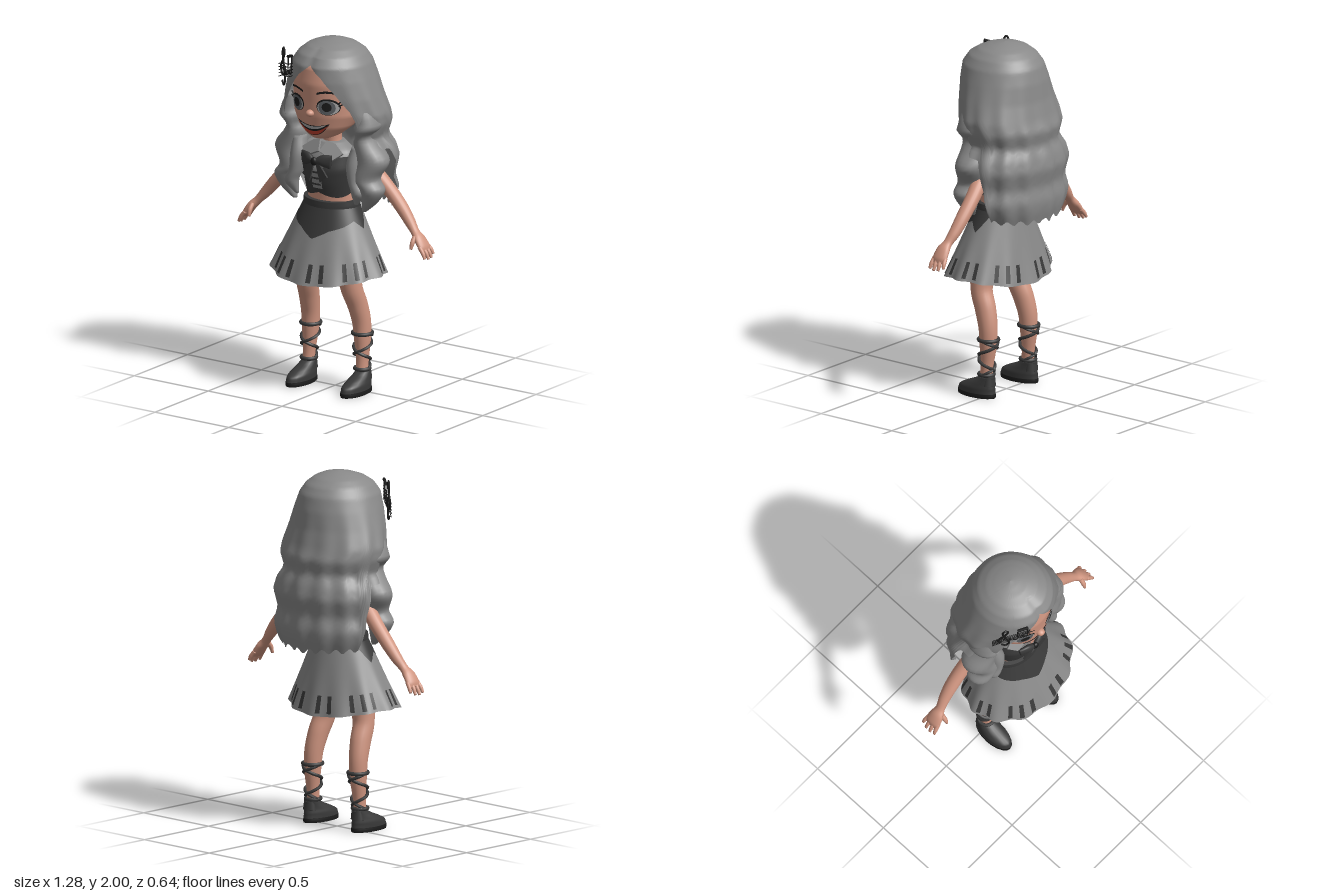
import * as THREE from 'three';

const mat = (name, color) => {
  const m = new THREE.MeshStandardMaterial({ color, side: THREE.DoubleSide });
  m.name = name;
  return m;
};
const V = (x, y, z) => new THREE.Vector3(x, y, z);
const rad = Math.PI / 180;

// Surface from f(u, v) -> Vector3; u runs round, v runs upward or along
function grid(f, nu, nv, closed = false) {
  const pos = [], idx = [], cols = closed ? nu : nu + 1;
  for (let i = 0; i <= nv; i++)
    for (let j = 0; j < cols; j++) pos.push(...f(j / nu, i / nv).toArray());
  for (let i = 0; i < nv; i++)
    for (let j = 0; j < nu; j++) {
      const k = (j + 1) % cols, a = i * cols + j, b = i * cols + k, c = a + cols, d = b + cols;
      idx.push(a, b, d, a, d, c);
    }
  const g = new THREE.BufferGeometry();
  g.setAttribute('position', new THREE.Float32BufferAttribute(pos, 3));
  g.setIndex(idx);
  g.computeVertexNormals();
  return g;
}

// Capped limb through rows [x, y, z, radius across, radius in depth]; flat keeps sections level
function loft(rows, flat = false, n = 20) {
  const path = new THREE.CatmullRomCurve3(rows.map(r => V(r[0], r[1], r[2])));
  const size = new THREE.CatmullRomCurve3(rows.map(r => V(r[3], r[4], 0)));
  const steps = rows.length * 5;
  return grid((u, v) => {
    const t = Math.min(1, Math.max(0, (v * (steps + 2) - 1) / steps));
    const c = path.getPoint(t), r = size.getPoint(t), end = v === 0 || v === 1 ? 0 : 1;
    const T = flat ? V(0, Math.sign(rows[rows.length - 1][1] - rows[0][1]), 0) : path.getTangent(t);
    const B = V(0, 0, 1).addScaledVector(T, -T.z).normalize(), N = B.clone().cross(T), a = u * 2 * Math.PI;
    return c.addScaledVector(N, r.x * Math.cos(a) * end).addScaledVector(B, r.y * Math.sin(a) * end);
  }, n, steps + 2, true);
}

// Linear lookup in a table sorted by its first column
function look(table, y) {
  let i = 1;
  while (i < table.length - 1 && table[i][0] < y) i++;
  const a = table[i - 1], b = table[i];
  const t = Math.min(1, Math.max(0, (y - a[0]) / (b[0] - a[0])));
  return a.map((p, k) => p + (b[k] - p) * t);
}

// Point on a body of rows [y, half width, front z, back z]; angle 0 faces the front
function around(table, th, y, k = 1, off = 0) {
  const [, w, zf, zb] = look(table, y);
  return V((w * k + off) * Math.sin(th), y, (zf + zb) / 2 + ((zf - zb) / 2 * k + off) * Math.cos(th));
}

const HEAD = [[1.45, .001, .13, .12], [1.457, .05, .175, .06], [1.48, .1, .2, 0], [1.53, .16, .22, -.06],
  [1.6, .2, .232, -.12], [1.68, .208, .236, -.15], [1.78, .205, .243, -.16], [1.87, .18, .228, -.14],
  [1.93, .12, .17, -.09], [1.96, .001, .04, .03]];
const HAIR = [[1.03, .3, .2, -.285], [1.09, .33, .2, -.3], [1.15, .35, .2, -.305], [1.23, .325, .2, -.29],
  [1.33, .35, .2, -.31], [1.4, .33, .2, -.295], [1.46, .285, .2, -.27], [1.54, .315, .215, -.285],
  [1.6, .318, .225, -.262], [1.7, .285, .245, -.238], [1.8, .25, .255, -.225], [1.88, .22, .25, -.205],
  [1.93, .185, .215, -.17], [1.965, .14, .16, -.12], [1.985, .09, .1, -.07], [1.995, .045, .05, -.03], [2, .001, .01, .009]];
const HAIR_END = [[0, 1.89], [18, 1.83], [33, 1.74], [45, 1.64], [52, 1.5], [58, 1.42], [94, 1.4], [104, 1.2], [110, 1.05], [180, 1.03]];
const VEST = [[1.1, .14, .145, -.07], [1.2, .15, .17, -.08], [1.28, .16, .18, -.08], [1.37, .155, .15, -.08]];
const YOKE = [[0, .42], [25, .31], [50, .26], [70, .2], [90, .33], [115, .06], [180, .04]];

export function createModel() {
  const grey = mat('grey', 0x898989), dark = mat('charcoal', 0x393939), skin = mat('skin', 0xcf9580),
    black = mat('black', 0x1c1c1c), iris = mat('iris grey', 0x5c6064), pale = mat('pale grey', 0xa8a8a8),
    red = mat('lip red', 0xc4412f);
  const model = new THREE.Group();
  const add = (name, geo, m, parent = model) => {
    const mesh = new THREE.Mesh(geo, m);
    mesh.name = name;
    parent.add(mesh);
    return mesh;
  };
  const ball = (name, m, p, s) => {
    const b = add(name, new THREE.SphereGeometry(1, 18, 12), m);
    b.position.set(...p); b.scale.set(...s);
  };
  const tube = (pts, r, n = 40) => new THREE.TubeGeometry(new THREE.CatmullRomCurve3(pts), n, r, 6);
  const plate = (pts, depth) => new THREE.ExtrudeGeometry(
    new THREE.Shape(pts.map(p => new THREE.Vector2(...p))), { depth, bevelEnabled: false });

  // Head
  add('head', grid((u, v) => around(HEAD, u * 2 * Math.PI, 1.45 + .51 * v), 40, 44, true), skin);
  ball('nose', skin, [0, 1.617, .235], [.024, .02, .028]);
  add('neck', loft([[0, 1.36, .02, .065, .06], [0, 1.43, .025, .052, .05], [0, 1.52, .03, .055, .055]], true), skin);

  // Facial details hugging the face between a top and a bottom line
  const decal = (name, m, x0, x1, top, bot, off) => add(name, grid((u, v) => {
    const x = x0 + (x1 - x0) * u, y = bot(x) + (top(x) - bot(x)) * v, [, w] = look(HEAD, y);
    return around(HEAD, Math.asin(x / w), y, 1, off);
  }, 24, 6), m);
  const oval = (name, m, cx, cy, rx, ry, off) => {
    const h = x => ry * Math.sqrt(Math.max(0, 1 - ((x - cx) / rx) ** 2));
    decal(name, m, cx - rx, cx + rx, x => cy + h(x), x => cy - h(x), off);
  };
  const smile = (mid, rise, half) => x => mid + rise * (x / half) ** 2;
  decal('mouth', black, -.105, .105, smile(1.545, .018, .105), smile(1.484, .079, .105), .003);
  decal('lowerLip', red, -.096, .096, smile(1.512, .042, .096), smile(1.488, .066, .096), .005);
  decal('teeth', pale, -.09, .09, smile(1.542, .015, .09), smile(1.524, .033, .09), .006);
  for (const s of [1, -1]) {
    oval('eyeOutline', black, s * .1, 1.662, .059, .047, .003);
    oval('eyeWhite', pale, s * .1, 1.658, .054, .04, .005);
    oval('eyeIris', iris, s * .096, 1.66, .042, .041, .007);
    oval('eyePupil', black, s * .096, 1.663, .024, .026, .009);
    const brow = x => 1.748 - 4 * (Math.abs(x) - .1) ** 2;
    decal('eyebrow', black, s * .045, s * .155, x => brow(x) + .006, x => brow(x) - .006, .004);
    for (const k of [0, 1]) add('eyelash', tube([around(HEAD, s * .78, 1.665 + k * .015),
      around(HEAD, s * .92, 1.68 + k * .02, 1, .01)], .004, 4), black);
    ball('ear', skin, [s * .21, 1.625, .06], [.025, .045, .028]);
  }

  // Hair: one wavy shell, short over the face and long at the back
  add('hair', grid((u, v) => {
    const th = (u * 2 - 1) * Math.PI, deg = Math.abs(th) / rad;
    let end = look(HAIR_END, deg)[1];
    if (deg > 110) end += .014 * Math.sin(th * 23);
    const y = 2 - (2 - end) * (1 - v) ** 1.6;
    const low = Math.min(1, Math.max(0, (1.85 - y) / .4));
    const part = .05 * Math.exp(-((deg / 9) ** 2)) * (y > 1.97 ? 0 : 1);
    return around(HAIR, th, y, 1 + .022 * low * Math.cos(th * 14) - part);
  }, 144, 56, true), grey);
  for (const s of [1, -1]) {
    const lock = rows => add('sideLock', loft(rows.map(([x, ...r]) => [x * s, ...r]), true), grey);
    lock([[.24, 1.66, .05, .03, .06], [.255, 1.56, .04, .06, .085], [.23, 1.46, .03, .06, .085], [.27, 1.345, .025, .1, .09],
      [.245, 1.245, .045, .08, .08], [.285, 1.185, .05, .075, .075], [.27, 1.11, .05, .045, .05], [.235, 1.05, .05, .012, .015]]);
    lock([[.2, 1.42, .05, .035, .05], [.19, 1.32, .08, .045, .05], [.2, 1.23, .09, .04, .045],
      [.225, 1.16, .095, .04, .04], [.2, 1.09, .08, .01, .01]]);
  }

  // Hair clip: clef, wavy staff and notes
  const clip = new THREE.Group();
  clip.name = 'musicHairClip';
  clip.position.set(-.19, 1.835, .2);
  clip.rotation.y = -.59;
  model.add(clip);
  add('clef', tube([[-.055, -.085], [-.035, -.105], [-.015, -.085], [-.03, .0], [-.05, .08], [-.035, .108], [-.02, .085], [-.045, .035],
    [-.075, -.005], [-.06, -.045], [-.02, -.045], [-.008, -.015], [-.03, .008], [-.045, -.012]].map(p => V(p[0], p[1], 0)), .006, 90), black, clip);
  for (let i = 0; i < 5; i++) add('staffLine', tube([-.11, -.04, .03, .105].map((x, k) =>
    V(x, -.05 + i * .018 + x * .25 + (k % 2) * .008, 0)), .0025, 16), black, clip);
  [[.02, -.025], [.075, -.005]].forEach(([x, y]) => {
    const head = add('noteHead', new THREE.SphereGeometry(.016, 10, 8), black, clip);
    head.position.set(x, y, .003); head.scale.set(1.1, .8, .5);
    add('noteStem', tube([V(x + .014, y, 0), V(x + .016, y + .1, 0)], .004, 2), black, clip);
  });
  add('noteBeam', tube([V(.035, .075, 0), V(.092, .095, 0)], .009, 2), black, clip);

  // Torso and clothes
  add('waist', loft([[0, 1.0, .03, .155, .115], [0, 1.09, .035, .142, .1], [0, 1.2, .04, .138, .1]], true), skin);
  add('blouse', loft([[0, 1.2, .04, .135, .1], [0, 1.32, .04, .155, .112], [0, 1.375, .035, .14, .095], [0, 1.42, .025, .075, .065]], true, 32), grey);
  add('vest', grid((u, v) => {
    const th = u * 2 * Math.PI, c = Math.cos(th);
    const bottom = 1.145 - .025 * Math.abs(Math.sin(2 * th));
    const top = 1.355 - .09 * Math.max(0, c) ** 12;
    return around(VEST, th, bottom + (top - bottom) * v);
  }, 64, 12, true), dark);
  add('placket', grid((u, v) => around(VEST, (u - .5) * .42, 1.17 + .14 * v, 1, .004), 6, 8), grey);
  for (const y of [1.19, 1.225, 1.26]) add('placketBand', grid((u, v) =>
    around(VEST, (u - .5) * .36, y + .011 * v, 1, .008), 6, 1), dark);
  for (const s of [1, -1]) {
    const collar = add('collar', plate([[0, 1.375], [s * .035, 1.44], [s * .085, 1.425], [s * .14, 1.37], [s * .085, 1.325]], .012), grey);
    collar.geometry.translate(0, -1.375, 0).rotateX(-.65).rotateY(s * .3).translate(0, 1.375, .147);
    const wing = loft([[s * .008, 1.335, .195, .014, .014], [s * .05, 1.34, .185, .034, .018], [s * .095, 1.335, .17, .042, .012]]);
    add('bowWing', wing, dark);
    const tail = add('bowTail', plate([[s * .005, 1.33], [s * .03, 1.32], [s * .085, 1.25], [s * .055, 1.235], [s * .035, 1.215]], .012), dark);
    tail.position.z = .184;
    add('sleeve', loft([[s * .12, 1.345, .01, .045, .06], [s * .19, 1.32, -.005, .06, .062], [s * .255, 1.26, -.015, .056, .056]]), grey);
  }
  ball('bowKnot', black, [0, 1.332, .2], [.02, .024, .016]);

  // Flared, softly pleated skirt with a pointed yoke and dark keys along the hem
  const skirt = (th, t, off = 0) => {
    const hem = .65 + .045 * Math.sin(th) ** 2, y = 1.07 + (hem - 1.07) * t;
    const k = 1 + .028 * t * t * Math.cos(th * 12);
    const zc = .03 + .03 * t, w = (.165 + .18 * t) * k + off, d = (.125 + .132 * t) * k + off;
    return V(w * Math.sin(th), y, zc + d * Math.cos(th));
  };
  const yoke = th => look(YOKE, Math.abs(th) / rad)[1];
  const turn = u => (u * 2 - 1) * Math.PI;
  add('skirt', grid((u, v) => skirt(turn(u), 1 - v * (1 - yoke(turn(u)))), 144, 14, true), grey);
  add('skirtYoke', grid((u, v) => skirt(turn(u), (1 - v) * yoke(turn(u))), 144, 8, true), dark);
  for (let i = 0; i < 28; i++) {
    if (i % 7 === 2 || i % 7 === 6) continue;
    const a = (i + .5) / 28 * 2 * Math.PI;
    for (const off of [.004, -.004])
      add('hemKey', grid((u, v) => skirt(a + (u - .5) * .085, .96 - .23 * v, off), 3, 5), dark);
  }
  add('waistband', loft([[0, 1.05, .03, .171, .131], [0, 1.07, .03, .17, .13], [0, 1.095, .032, .166, .126]], true, 40), dark);

  for (const s of [1, -1]) {
    const limb = (name, rows, m = skin, flat = false) =>
      add(name, loft(rows.map(([x, ...r]) => [x * s, ...r]), flat), m);
    // Arms and hands
    limb('arm', [[.15, 1.335, -.005, .045, .05], [.25, 1.265, -.02, .042, .045], [.34, 1.18, -.032, .039, .041], [.43, 1.085, -.032, .036, .038],
      [.49, 1.015, -.025, .03, .032], [.53, .97, -.015, .023, .027], [.565, .935, -.01, .024, .042], [.595, .895, -.01, .02, .047], [.608, .872, -.01, .012, .04]]);
    for (let i = 0; i < 4; i++) {
      const z = .026 - i * .024, l = [.9, 1, .95, .75][i];
      limb('finger', [[.59, .9, z, .012, .012], [.59 + .028 * l, .9 - .035 * l, z * 1.15, .0115, .0115],
        [.59 + .045 * l, .9 - .068 * l, z * 1.25, .007, .008]]);
    }
    limb('thumb', [[.55, .95, .015, .013, .014], [.55, .92, .038, .013, .013], [.548, .885, .05, .007, .008]]);

    // Legs and shoes
    limb('leg', [[.085, 1.0, .03, .08, .09], [.12, .78, .055, .078, .08], [.15, .6, .055, .062, .06], [.163, .5, .018, .056, .06],
      [.172, .4, -.008, .052, .054], [.176, .3, -.013, .047, .049], [.18, .16, -.006, .034, .036], [.183, .05, 0, .036, .04]]);
    limb('shoe', [[.185, .02, .06, .057, .124], [.185, .05, .056, .057, .118], [.185, .075, .035, .051, .093],
      [.184, .1, .005, .044, .062], [.183, .118, -.012, .04, .046]], dark, true);
    limb('shoeHeelCounter', [[.184, .07, -.025, .042, .036], [.183, .135, -.03, .032, .024]], dark, true);
    limb('shoeSole', [[.185, 0, .06, .059, .124], [.185, .012, .06, .06, .126], [.185, .024, .06, .059, .125]], black, true);

    // Criss-cross ankle straps
    const strap = (y, a) => {
      const t = (y - .13) / .2, r = .04 + .013 * t;
      return V(s * (.181 - .006 * t + r * Math.sin(a)), y, -.004 - .01 * t + (r + .002) * Math.cos(a));
    };
    for (const y of [.13, .33]) add('ankleBand', new THREE.TubeGeometry(new THREE.CatmullRomCurve3(
      Array.from({ length: 12 }, (_, i) => strap(y, i * Math.PI / 6)), true), 32, .011, 8, true), dark);
    for (const d of [1, -1]) add('crossStrap', tube(Array.from({ length: 25 }, (_, i) =>
      strap(.13 + .2 * i / 24, d * (Math.PI / 2 + i / 24 * 3 * Math.PI))), .009, 60), dark);
  }
  return model;
}
